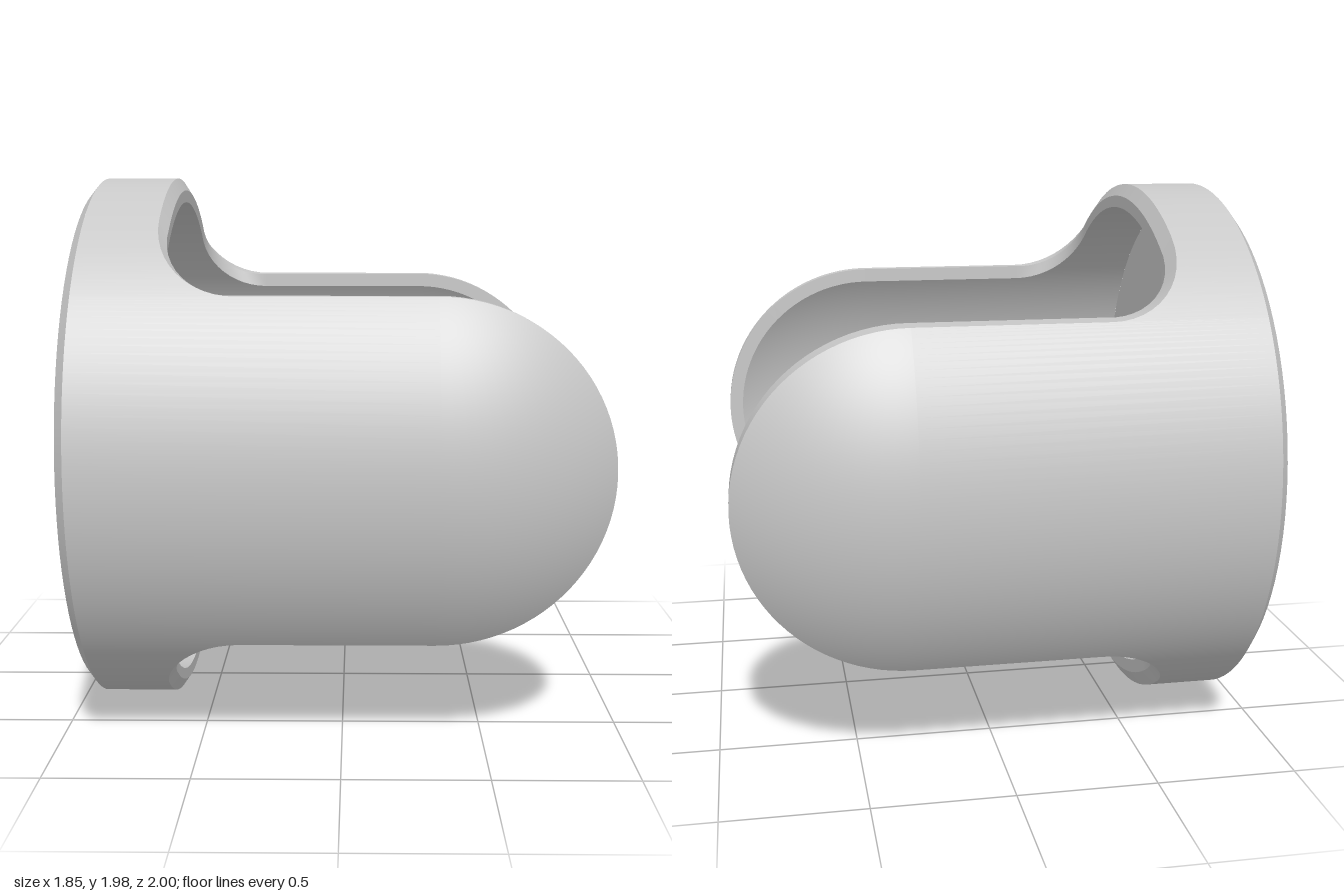
import * as THREE from 'three';

const DOME_X = 0.32;      // where the cylinder turns into a dome
const BASE_X = -0.89;     // top of the base bevel
const FLOOR_X = -0.84;    // floor of the cavity
const INNER = 0.91;       // cavity radius
const SHIFT = 0.025;      // cavity offset in z
const FLAT = 0.99;        // the body is slightly flatter in y than in z

// Depth of the domed cylinder of radius r at (x, y)
const depth = (x, y, r) => Math.sqrt(Math.max(0, r * r - y * y - Math.max(0, x - DOME_X) ** 2));

// Edge of one arm: rounded tip, straight side, fillet, collar. w = 1 on the collar.
function armOutline() {
  const half = [];
  for (let i = 0; i <= 24; i++) {
    const a = (i / 24) * Math.PI / 2;
    half.push({ x: DOME_X + 0.603 * Math.cos(a), y: 0.6 * Math.sin(a), w: 0 });
  }
  for (let i = 0; i <= 12; i++) {
    const a = (i / 12) * Math.PI / 2;
    half.push({ x: -0.35 - 0.28 * Math.sin(a), y: 0.85 - 0.25 * Math.cos(a), w: i / 12 });
  }
  const start = Math.asin(0.85);
  for (let i = 1; i <= 14; i++) {
    half.push({ x: -0.63, y: Math.sin(start + (Math.PI / 2 - start) * i / 14), w: 1 });
  }
  const mirrored = half.slice(1).reverse().map((p) => ({ ...p, y: -p.y }));
  return [...mirrored, ...half];
}

// Surface from rows of points; normalAt is optional
function grid(rows, flip, normalAt) {
  const n = rows[0].length;
  const index = [];
  for (let i = 0; i < rows.length - 1; i++) {
    for (let j = 0; j < n - 1; j++) {
      const a = i * n + j, b = a + 1, c = a + n, d = c + 1;
      if (flip) index.push(a, c, b, b, c, d);
      else index.push(a, b, c, b, d, c);
    }
  }
  const points = rows.flat();
  const g = new THREE.BufferGeometry();
  g.setAttribute('position', new THREE.Float32BufferAttribute(points.flat(), 3));
  g.setIndex(index);
  if (normalAt) {
    const normals = points.flatMap((p) => normalAt(p).normalize().toArray());
    g.setAttribute('normal', new THREE.Float32BufferAttribute(normals, 3));
  } else g.computeVertexNormals();
  return g;
}

// Lengthwise row of points at constant y, with finer steps over the dome
function row(from, to, y, r, side, shift) {
  const knee = Math.min(to, DOME_X);
  const xs = [from];
  for (let k = 0; k <= 14; k++) xs.push(knee + (to - knee) * k / 14);
  return xs.map((x) => [x, y * FLAT, side * depth(x, y, r) + shift]);
}

export function createModel() {
  const model = new THREE.Group();
  model.name = 'slottedCup';
  const grey = new THREE.MeshStandardMaterial({ color: 0xc8c8c8 });
  grey.name = 'grey';

  const add = (name, geometry, parent = model) => {
    const mesh = new THREE.Mesh(geometry, grey);
    mesh.name = name;
    parent.add(mesh);
    return mesh;
  };

  const outline = armOutline();
  const innerX = ({ x, w }) => (x > DOME_X ? DOME_X + (x - DOME_X) * INNER : x + 0.03 * w);

  // Two mirrored half shells, each with its arm
  for (const side of [1, -1]) {
    const half = new THREE.Group();
    half.name = side > 0 ? 'leftHalf' : 'rightHalf';
    model.add(half);

    const outer = outline.map((p) => row(BASE_X, p.x, p.y, 1, side, 0));
    add('outerWall', grid(outer, side < 0,
      ([x, y, z]) => new THREE.Vector3(Math.max(0, x - DOME_X), y, z)), half);

    const inner = outline.map((p) => row(FLOOR_X, innerX(p), p.y * INNER, INNER, side, SHIFT));
    add('innerWall', grid(inner, side > 0,
      ([x, y, z]) => new THREE.Vector3(-Math.max(0, x - DOME_X), -y, SHIFT - z)), half);

    // Rim: outer band and inner band, bevelled around the collar
    const outerEdge = outer.map((r) => r[r.length - 1]);
    const innerEdge = inner.map((r) => r[r.length - 1]);
    const ridge = outline.map(({ w }, i) => {
      const o = outerEdge[i], n = innerEdge[i];
      return [o[0] + 0.03 * w, o[1] + (n[1] - o[1]) * w / 2, n[2] + (o[2] - n[2]) * w / 2];
    });
    add('outerRim', grid(outerEdge.map((p, i) => [p, ridge[i]]), side < 0), half);
    add('innerRim', grid(ridge.map((p, i) => [p, innerEdge[i]]), side < 0), half);
  }

  // Closed base with a bevelled edge
  const bevel = new THREE.CylinderGeometry(0.96, 1, 0.033, 96, 1, true);
  bevel.rotateZ(Math.PI / 2).scale(1, FLAT, 1);
  add('baseBevel', bevel).position.x = BASE_X - 0.0165;

  const bottom = new THREE.CircleGeometry(0.96, 96);
  bottom.rotateY(-Math.PI / 2).scale(1, FLAT, 1);
  add('base', bottom).position.x = BASE_X - 0.033;

  // Cavity floor
  const floor = new THREE.CircleGeometry(INNER, 96);
  floor.rotateY(Math.PI / 2).scale(1, FLAT, 1);
  add('cavityFloor', floor).position.set(FLOOR_X, 0, SHIFT);

  for (const part of model.children) part.position.y = 0.995;
  return model;
}
